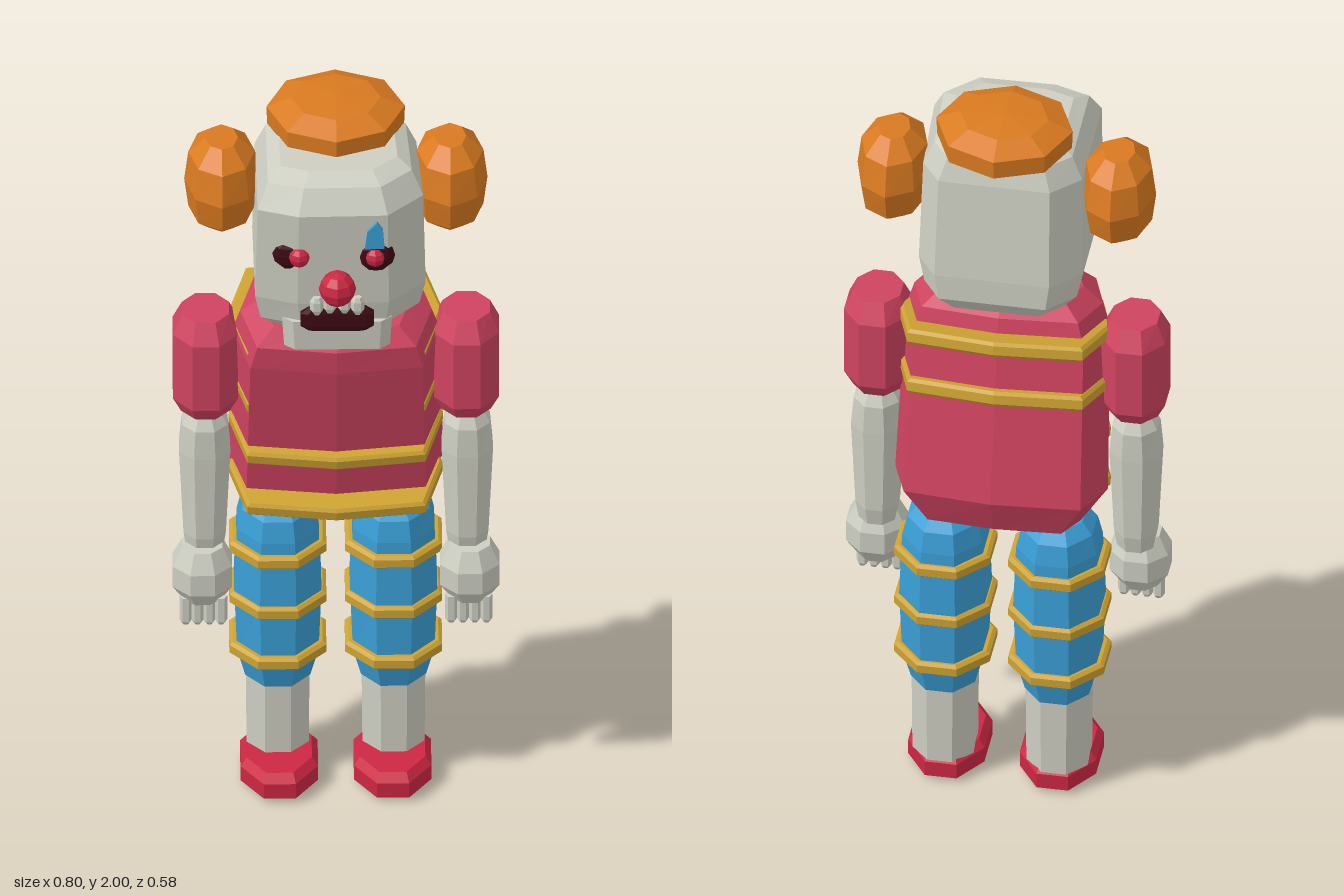
import * as THREE from 'three';

const mat = (name, color) => {
  const m = new THREE.MeshStandardMaterial({ color });
  m.name = name;
  return m;
};

// Regular n-sided section with a flat face (or a corner) at the front
const ngon = (n, flat = true) => {
  const k = flat ? 1 / Math.cos(Math.PI / n) : 1;
  return Array.from({ length: n }, (_, i) => {
    const a = ((i + (flat ? 0.5 : 0)) / n) * Math.PI * 2;
    return [Math.sin(a) * k, Math.cos(a) * k];
  });
};
const FLAT8 = ngon(8), POINT8 = ngon(8, false);
const BODY = [[0, 1], [0.83, 0.86], [1, 0], [0.83, -0.86], [0, -1], [-0.83, -0.86], [-1, 0], [-0.83, 0.86]];
const SLAB = [[-0.8, 1], [0.8, 1], [1, 0.75], [1, -0.75], [0.8, -1], [-0.8, -1], [-1, -0.75], [-1, 0.75]];
const HEAD = [[-0.095, 0.205], [0.125, 0.2], [0.214, 0.11], [0.2, -0.13],
  [0.15, -0.2], [-0.13, -0.2], [-0.2, -0.13], [-0.197, 0.17]];

// Faceted solid through rings [y, scaleX, scaleZ, offsetZ], bottom to top
function loft(section, rings) {
  const pos = [], n = section.length;
  const at = (r, i) => {
    const [y, sx, sz, oz = 0] = rings[r], [x, z] = section[i % n];
    return [x * sx, y, z * sz + oz];
  };
  const last = rings.length - 1;
  const mid = (r) => [0, rings[r][0], rings[r][3] || 0];
  for (let i = 0; i < n; i++) {
    for (let r = 0; r < last; r++) {
      const a = at(r, i), b = at(r, i + 1), c = at(r + 1, i + 1), d = at(r + 1, i);
      pos.push(...a, ...b, ...c, ...a, ...c, ...d);
    }
    pos.push(...mid(0), ...at(0, i + 1), ...at(0, i));
    pos.push(...mid(last), ...at(last, i), ...at(last, i + 1));
  }
  const g = new THREE.BufferGeometry();
  g.setAttribute('position', new THREE.Float32BufferAttribute(pos, 3));
  g.computeVertexNormals();
  return g;
}

export function createModel() {
  const root = new THREE.Group();
  root.name = 'clownToy';
  const skin = mat('paleGrey', 0xcdcec2), red = mat('shirtRed', 0xcf4360), crimson = mat('noseRed', 0xcc2742);
  const blue = mat('trouserBlue', 0x3a9fd6), gold = mat('bandGold', 0xcda232);
  const orange = mat('hairOrange', 0xd97a20), dark = mat('darkMaroon', 0x3c0a14);

  const add = (parent, name, geo, material, x = 0, y = 0, z = 0) => {
    const m = new THREE.Mesh(geo, material);
    m.name = name;
    m.position.set(x, y, z);
    parent.add(m);
    return m;
  };
  const ball = (r, sx = 1, sy = 1, sz = 1) => {
    const g = new THREE.SphereGeometry(r, 8, 6).toNonIndexed();
    g.scale(sx, sy, sz);
    g.computeVertexNormals();
    return g;
  };

  // Torso leaning forward, with bands stacked straight up
  const LEAN = 0.2;
  add(root, 'torso', loft(BODY, [
    [-0.335, 0.2, 0.1], [-0.24, 0.265, 0.16], [0.2, 0.255, 0.158],
    [0.265, 0.235, 0.15], [0.305, 0.185, 0.11],
  ]), red, 0, 1.14, -0.085).rotation.x = LEAN;
  const shirtBand = loft(BODY, [
    [-0.02, 0.25, 0.163], [-0.012, 0.258, 0.17], [0.012, 0.258, 0.17], [0.02, 0.25, 0.163],
  ].map(([y, x, z]) => [y, x * 1.02, z]));
  for (let i = 0; i < 4; i++) {
    add(root, 'shirtBand', shirtBand, gold, 0, 0.895 + i * 0.152, -0.085).rotation.x = LEAN;
  }

  // Arms and legs
  const sleeve = loft(FLAT8, [[1.105, 0.06, 0.065], [1.15, 0.08, 0.095], [1.34, 0.08, 0.095], [1.392, 0.058, 0.065]]);
  const forearm = loft(FLAT8, [[0.69, 0.045, 0.045], [0.74, 0.052, 0.055], [0.98, 0.063, 0.06], [1.06, 0.056, 0.058], [1.095, 0.038, 0.04]]);
  const hand = loft(FLAT8, [[0.555, 0.045, 0.045], [0.6, 0.073, 0.072], [0.66, 0.073, 0.072], [0.71, 0.05, 0.048]]);
  const finger = loft(ngon(6), [[0.49, 0.008, 0.009], [0.5, 0.013, 0.015], [0.57, 0.013, 0.015]]);
  const trouser = loft(FLAT8, [
    [0.28, 0.08, 0.09], [0.36, 0.1, 0.112], [0.54, 0.107, 0.118],
    [0.72, 0.1, 0.112], [0.775, 0.088, 0.1], [0.805, 0.062, 0.07],
  ]);
  const legBand = loft(FLAT8, [[-0.018, 0.11, 0.12], [-0.011, 0.119, 0.128], [0.011, 0.119, 0.128], [0.018, 0.11, 0.12]]);
  const shin = loft(FLAT8, [[0.06, 0.076, 0.08], [0.3, 0.078, 0.082]]);
  const shoe = loft(FLAT8, [[0.005, 0.08, 0.115], [0.018, 0.095, 0.136], [0.06, 0.095, 0.136], [0.08, 0.08, 0.115]]);
  shoe.translate(0, -0.005, 0);
  for (const s of [1, -1]) {
    const side = s > 0 ? 'left' : 'right';
    const arm = new THREE.Group();
    arm.name = side + 'Arm';
    add(arm, 'sleeve', sleeve, red, s * 0.32, 0, -0.055);
    add(arm, 'forearm', forearm, skin, s * 0.322, 0, -0.056);
    add(arm, 'hand', hand, skin, s * 0.328, 0, -0.03);
    for (let i = 0; i < 4; i++) add(arm, 'finger', finger, skin, s * (0.282 + i * 0.029), 0, -0.005);
    const leg = new THREE.Group();
    leg.name = side + 'Leg';
    add(leg, 'trouserLeg', trouser, blue, s * 0.142, 0, -0.12);
    for (const y of [0.37, 0.52, 0.67]) add(leg, 'trouserBand', legBand, gold, s * 0.142, y, -0.118);
    add(leg, 'shin', shin, skin, s * 0.142, 0, -0.124);
    add(leg, 'shoe', shoe, crimson, s * 0.139, 0, -0.07);
    root.add(arm, leg);
  }

  // Head turned slightly to one side, with a separate jaw
  const head = new THREE.Group();
  head.name = 'head';
  root.add(head);
  add(head, 'skull', loft(HEAD, [
    [1.445, 0.75, 0.72, -0.03], [1.5, 0.95, 0.97, -0.022], [1.57, 1.02, 1, -0.015],
    [1.84, 0.99, 0.97, 0.008], [1.9, 0.86, 0.83, 0], [1.92, 0.7, 0.65, -0.01],
  ]), skin);
  add(head, 'jaw', loft(SLAB, [
    [-0.05, 0.115, 0.07, -0.01], [-0.035, 0.13, 0.088], [0.05, 0.135, 0.092],
  ]), skin, 0, 1.465, 0.095);

  // Face
  add(head, 'nose', ball(0.046), crimson, 0, 1.65, 0.24);
  for (const s of [1, -1]) {
    add(head, 'eyeSocket', ball(0.045, 1.05, 1, 0.5), dark, s > 0 ? 0.095 : -0.112, 1.713, s > 0 ? 0.187 : 0.178);
    add(head, 'pupil', ball(0.027), crimson, s * 0.093, 1.715, 0.195);
  }
  const drop = new THREE.Shape();
  drop.moveTo(-0.022, 0);
  [[0.026, 0], [0.022, 0.055], [0.008, 0.078], [-0.016, 0.05]].forEach(([x, y]) => drop.lineTo(x, y));
  add(head, 'tear', new THREE.ExtrudeGeometry(drop, { depth: 0.009, bevelEnabled: false }), blue, 0.09, 1.745, 0.2);
  add(head, 'mouth', loft(SLAB, [
    [-0.034, 0.07, 0.015], [-0.018, 0.09, 0.02], [0.018, 0.09, 0.02], [0.034, 0.07, 0.015],
  ]), dark, 0, 1.528, 0.182);
  const tooth = loft(ngon(6), [[-0.025, 0.008, 0.008], [-0.012, 0.015, 0.012], [0.012, 0.015, 0.012], [0.024, 0.009, 0.008]]);
  [-0.05, -0.018, 0.018, 0.05].forEach((x, i) =>
    add(head, 'tooth', tooth, skin, x, i % 3 ? 1.575 : 1.57, 0.195));

  // Hair tufts
  const puff = loft(POINT8, [
    [-0.122, 0.04, 0.055], [-0.08, 0.082, 0.112], [0, 0.092, 0.133], [0.08, 0.082, 0.112], [0.122, 0.04, 0.055],
  ]);
  for (const s of [1, -1]) add(head, 'sideHair', puff, orange, s * 0.28, 1.775, -0.06);
  add(head, 'topHair', loft(POINT8, [
    [1.9, 0.14, 0.13], [1.915, 0.168, 0.156], [1.965, 0.17, 0.158], [1.992, 0.11, 0.1], [2, 0.01, 0.01],
  ]), orange, 0, 0, -0.092);
  return root;
}
